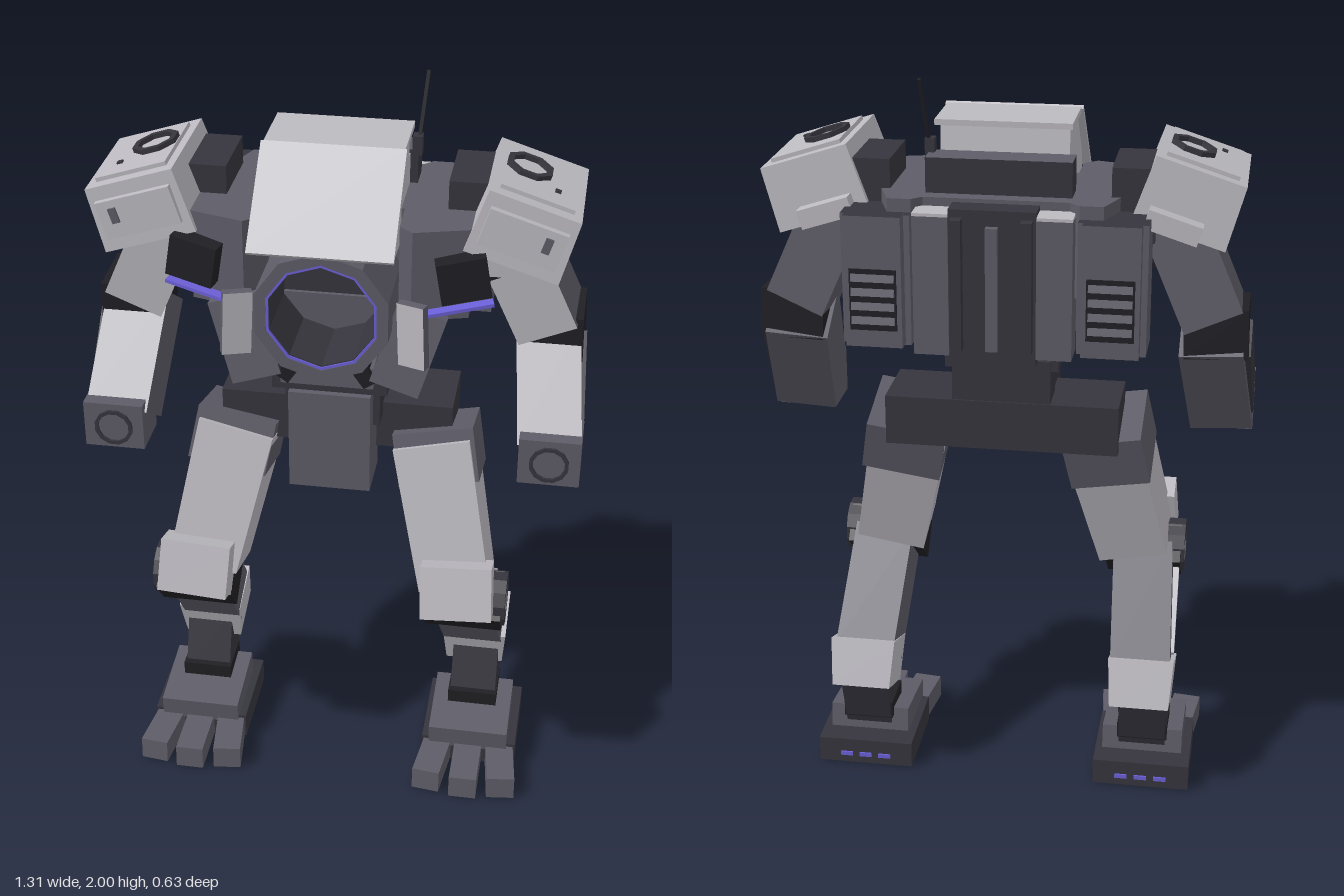
import * as THREE from 'three';

const mat = (name, color, extra = {}) => {
  const m = new THREE.MeshStandardMaterial({ color, flatShading: true, ...extra });
  m.name = name;
  return m;
};

export function createModel() {
  const light = mat('light armour', 0xbcbac0);
  const slate = mat('slate armour', 0x5e5c67);
  const dark = mat('dark frame', 0x36353d);
  const black = mat('black joints', 0x201f24);
  const glow = mat('violet glow', 0x6c60d8, { side: THREE.DoubleSide });

  const model = new THREE.Group();
  model.name = 'walker';
  const group = (name, parent = model) => {
    const g = new THREE.Group();
    g.name = name;
    parent.add(g);
    return g;
  };
  const add = (parent, name, geo, m, pos = [0, 0, 0], rot = [0, 0, 0]) => {
    const mesh = new THREE.Mesh(geo, m);
    mesh.name = name;
    mesh.position.set(...pos);
    mesh.rotation.set(...rot);
    parent.add(mesh);
    return mesh;
  };
  // Box whose lower end can be scaled in x and z
  const boxGeo = ([w, h, d], tx = 1, tz = 1) => {
    const g = new THREE.BoxGeometry(w, h, d);
    const p = g.attributes.position;
    for (let i = 0; i < p.count; i++) {
      if (p.getY(i) < 0) p.setXYZ(i, p.getX(i) * tx, p.getY(i), p.getZ(i) * tz);
    }
    g.computeVertexNormals();
    return g;
  };
  const box = (parent, name, m, size, pos, rot) => add(parent, name, boxGeo(size), m, pos, rot);
  // Box running from the top point a to the bottom point b
  const beam = (parent, name, m, a, b, w, d, tx = 1, tz = 1) => {
    const A = new THREE.Vector3(...a), B = new THREE.Vector3(...b);
    const Y = A.clone().sub(B), len = Y.length();
    Y.normalize();
    const X = new THREE.Vector3(1, 0, 0).addScaledVector(Y, -Y.x).normalize();
    const Z = X.clone().cross(Y);
    const mesh = add(parent, name, boxGeo([w, len, d], tx, tz), m);
    mesh.quaternion.setFromRotationMatrix(new THREE.Matrix4().makeBasis(X, Y, Z));
    mesh.position.copy(A.add(B).multiplyScalar(0.5));
    return mesh;
  };
  // Box face order: +x, -x, +y, -y, +z, -z
  const frontLight = [slate, slate, slate, slate, light, slate];
  const darkTop = [slate, slate, dark, dark, slate, slate];
  const darkSides = [dark, dark, slate, slate, slate, slate];
  const polygon = pts => new THREE.Shape(pts.map(p => new THREE.Vector2(...p)));
  const extrude = (shape, depth) => new THREE.ExtrudeGeometry(shape, { depth, bevelEnabled: false });
  // Flat ring with straight walls, made of n sides
  const ringGeo = (R, r, depth, n) => {
    const loop = q => Array.from({ length: n }, (_, i) => {
      const t = (i + 0.5) / n * Math.PI * 2;
      return [Math.cos(t) * q, Math.sin(t) * q];
    });
    const s = polygon(loop(R));
    s.holes.push(polygon(loop(r)));
    return extrude(s, depth);
  };

  // Head: profile in z and y, then canopy plates
  const head = group('head');
  const headGeo = extrude(polygon([[-0.1, 1.62], [0.22, 1.64], [0.21, 1.74], [0.09, 1.87], [-0.06, 1.87], [-0.07, 1.8], [-0.1, 1.8]]), 0.33);
  headGeo.rotateY(-Math.PI / 2).translate(0.165, 0, 0);
  add(head, 'headShell', headGeo, light);
  box(head, 'roofPlate', light, [0.35, 0.015, 0.19], [0, 1.88, 0.0]);
  beam(head, 'visorPlate', light, [0, 1.887, 0.092], [0, 1.685, 0.305], 0.36, 0.012);
  box(head, 'rearPlate', [dark, dark, slate, dark, dark, dark], [0.37, 0.19, 0.08], [0, 1.715, -0.135]);
  box(head, 'antennaBase', dark, [0.025, 0.05, 0.03], [0.182, 1.82, -0.11]);
  beam(head, 'antenna', black, [0.2, 2.0, -0.155], [0.185, 1.83, -0.11], 0.009, 0.009);

  // Torso
  const torso = group('torso');
  box(torso, 'torsoCore', slate, [0.38, 0.36, 0.28], [0, 1.54, -0.075]);
  add(torso, 'belly', boxGeo([0.6, 0.2, 0.2], 0.45, 0.9), slate, [0, 1.38, -0.01]);
  box(torso, 'chin', slate, [0.24, 0.06, 0.14], [0, 1.31, 0.14]);
  box(torso, 'waistRing', dark, [0.3, 0.05, 0.3], [0, 1.265, 0.02]);
  box(torso, 'waist', dark, [0.25, 0.14, 0.24], [0, 1.19, 0.0]);

  // Hollow chest core
  add(torso, 'coreRing', ringGeo(0.175, 0.145, 0.23, 10), slate, [0, 1.515, 0.06]);
  add(torso, 'coreLining', ringGeo(0.147, 0.137, 0.22, 10), dark, [0, 1.515, 0.06]);
  add(torso, 'coreBack', new THREE.CylinderGeometry(0.15, 0.15, 0.02, 10), dark, [0, 1.515, 0.07], [Math.PI / 2, 0, 0]);
  add(torso, 'coreGlow', ringGeo(0.147, 0.138, 0.004, 10), glow, [0, 1.515, 0.284]);

  // Spine pack
  const pack = group('spinePack', torso);
  box(pack, 'spineBlock', dark, [0.22, 0.4, 0.1], [0, 1.51, -0.23]);
  box(pack, 'spineRod', slate, [0.03, 0.32, 0.03], [0, 1.51, -0.285]);

  // Pelvis
  const pelvis = group('pelvis');
  box(pelvis, 'hipBeam', dark, [0.62, 0.135, 0.2], [0, 1.085, -0.045]);
  box(pelvis, 'frontGuard', slate, [0.215, 0.285, 0.15], [0, 1.09, 0.1]);
  box(pelvis, 'rearGuard', dark, [0.26, 0.12, 0.1], [0, 1.21, -0.09]);

  for (const s of [1, -1]) {
    const side = s > 0 ? 'left' : 'right';

    // Chest wing, outline in x and z
    const wing = polygon([[0.17, -0.2], [0.175, 0.17], [0.21, 0.2], [0.35, 0.16], [0.35, -0.02], [0.27, -0.24], [0.21, -0.24]].map(([x, z]) => [x * s, -z]));
    add(torso, side + 'ChestWing', extrude(wing, 0.24).rotateX(-Math.PI / 2), slate, [0, 1.48, 0]);
    box(torso, side + 'ChestBlock', black, [0.125, 0.11, 0.06], [s * 0.335, 1.605, 0.185], [0, s * 0.2, s * 0.17]);
    box(torso, side + 'GlowStrip', glow, [0.17, 0.009, 0.03], [s * 0.33, 1.52, 0.19], [0, s * 0.2, s * 0.17]);
    box(torso, side + 'CorePlate', frontLight, [0.075, 0.17, 0.025], [s * 0.222, 1.465, 0.245], [0, -s * 0.4, s * 0.05]);
    beam(torso, side + 'LowerFlank', darkSides, [s * 0.24, 1.5, 0.13], [s * 0.175, 1.29, 0.16], 0.13, 0.16);
    box(torso, side + 'CoreClamp', black, [0.04, 0.05, 0.05], [s * 0.1, 1.32, 0.2], [0, 0, s * 0.6]);

    // Thruster pack with vents
    box(pack, side + 'Thruster', darkTop, [0.175, 0.34, 0.13], [s * 0.297, 1.515, -0.2]);
    box(pack, side + 'ThrusterCover', darkTop, [0.145, 0.34, 0.05], [s * 0.297, 1.52, -0.28]);
    box(pack, side + 'VentPanel', black, [0.12, 0.16, 0.004], [s * 0.297, 1.475, -0.306]);
    for (let i = 0; i < 4; i++) {
      box(pack, side + 'Vent', slate, [0.11, 0.02, 0.02], [s * 0.297, 1.42 + i * 0.037, -0.305], [0.3, 0, 0]);
    }
    box(pack, side + 'SpineColumn', slate, [0.09, 0.36, 0.09], [s * 0.155, 1.51, -0.24]);
    box(pack, side + 'ColumnCap', light, [0.09, 0.008, 0.09], [s * 0.155, 1.694, -0.24]);
    box(pack, side + 'SpineRail', dark, [0.028, 0.34, 0.04], [s * 0.088, 1.52, -0.29]);

    // Shoulder
    const arm = group(side + 'Arm');
    box(arm, 'shoulderLink', dark, [0.11, 0.19, 0.2], [s * 0.335, 1.7, -0.05]);
    box(arm, 'shoulderJoint', black, [0.14, 0.16, 0.18], [s * 0.41, 1.63, -0.03], [0, 0, s * 0.4]);
    const pad = group('shoulderPad', arm);
    pad.position.set(s * 0.475, 1.715, 0.005);
    pad.rotation.z = -s * 0.31;
    add(pad, 'padShell', boxGeo([0.235, 0.17, 0.33], 1.05, 1.05), light);
    box(pad, 'padTop', light, [0.19, 0.015, 0.26], [0, 0.088, 0]);
    box(pad, 'padFront', light, [0.2, 0.1, 0.02], [0, 0, 0.175]);
    box(pad, 'padRear', light, [0.14, 0.05, 0.05], [-s * 0.02, -0.06, -0.19]);
    box(pad, 'padLatch', slate, [0.02, 0.04, 0.01], [s * 0.06, 0.01, 0.186]);
    box(pad, 'padBolt', dark, [0.015, 0.008, 0.015], [s * 0.045, 0.096, 0.06]);
    add(pad, 'hatchRing', ringGeo(0.062, 0.047, 0.015, 8), dark, [-s * 0.035, 0.093, -0.015], [-Math.PI / 2, 0, 0]);

    // Arm
    beam(arm, 'upperArm', frontLight, [s * 0.425, 1.66, -0.025], [s * 0.545, 1.39, -0.05], 0.16, 0.19);
    beam(arm, 'elbow', black, [s * 0.55, 1.43, -0.055], [s * 0.555, 1.3, -0.06], 0.165, 0.17);
    beam(arm, 'forearm', frontLight, [s * 0.542, 1.36, -0.08], [s * 0.572, 1.09, 0.1], 0.165, 0.17);
    beam(arm, 'forearmGuard', dark, [s * 0.63, 1.34, -0.07], [s * 0.643, 1.13, 0.07], 0.025, 0.12);
    box(arm, 'wristBlock', slate, [0.16, 0.13, 0.13], [s * 0.575, 1.095, 0.13]);
    add(arm, 'muzzleRing', ringGeo(0.052, 0.042, 0.012, 12), dark, [s * 0.575, 1.092, 0.19]);

    // Thigh and knee
    const leg = group(side + 'Leg');
    beam(leg, 'hipCap', slate, [s * 0.262, 1.07, -0.01], [s * 0.288, 0.93, 0.03], 0.215, 0.22);
    beam(leg, 'thigh', light, [s * 0.262, 1.04, 0.015], [s * 0.345, 0.66, 0.125], 0.205, 0.225, 0.93, 0.85);
    beam(leg, 'kneePad', light, [s * 0.352, 0.77, 0.218], [s * 0.36, 0.63, 0.262], 0.19, 0.085);
    box(leg, 'kneeJoint', black, [0.21, 0.11, 0.14], [s * 0.37, 0.61, 0.15], [0.7, 0, 0]);
    add(leg, 'kneeDisc', new THREE.CylinderGeometry(0.066, 0.066, 0.05, 12), black, [s * 0.445, 0.625, 0.155], [0, 0, Math.PI / 2]);
    add(leg, 'kneeRing', ringGeo(0.075, 0.05, 0.05, 12), dark, [s * (s > 0 ? 0.435 : 0.485), 0.625, 0.155], [0, Math.PI / 2, 0]);
    box(leg, 'kneePin', light, [0.01, 0.025, 0.025], [s * 0.469, 0.6, 0.14], [0.7, 0, 0]);

    // Shin, with a side piston
    beam(leg, 'shin', slate, [s * 0.37, 0.62, 0.13], [s * 0.387, 0.35, -0.1], 0.165, 0.14);
    beam(leg, 'piston', light, [s * 0.462, 0.6, 0.13], [s * 0.465, 0.39, -0.06], 0.02, 0.022);
    beam(leg, 'ankleArmour', light, [s * 0.39, 0.39, -0.085], [s * 0.39, 0.265, -0.13], 0.18, 0.16, 0.9);
    beam(leg, 'lowerShin', dark, [s * 0.395, 0.31, -0.1], [s * 0.395, 0.13, -0.035], 0.13, 0.12);

    // Foot
    const foot = group('foot', leg);
    box(foot, 'ankle', black, [0.14, 0.05, 0.13], [s * 0.395, 0.155, -0.035]);
    add(foot, 'instep', new THREE.BoxGeometry(0.225, 0.07, 0.22), slate, [s * 0.395, 0.105, 0.025], [0.13, 0, 0]);
    box(foot, 'sole', dark, [0.27, 0.075, 0.265], [s * 0.397, 0.0385, -0.012]);
    for (let i = -1; i <= 1; i++) {
      add(foot, 'toe', boxGeo([0.078, 0.066, 0.17], 1, 1.04), slate, [s * 0.397 + i * 0.097, 0.034, 0.192 - Math.abs(i) * 0.015], [0, i * 0.12, 0]);
      box(foot, 'heelLight', glow, [0.035, 0.012, 0.006], [s * 0.397 + i * 0.055, 0.03, -0.146]);
    }
  }
  return model;
}
